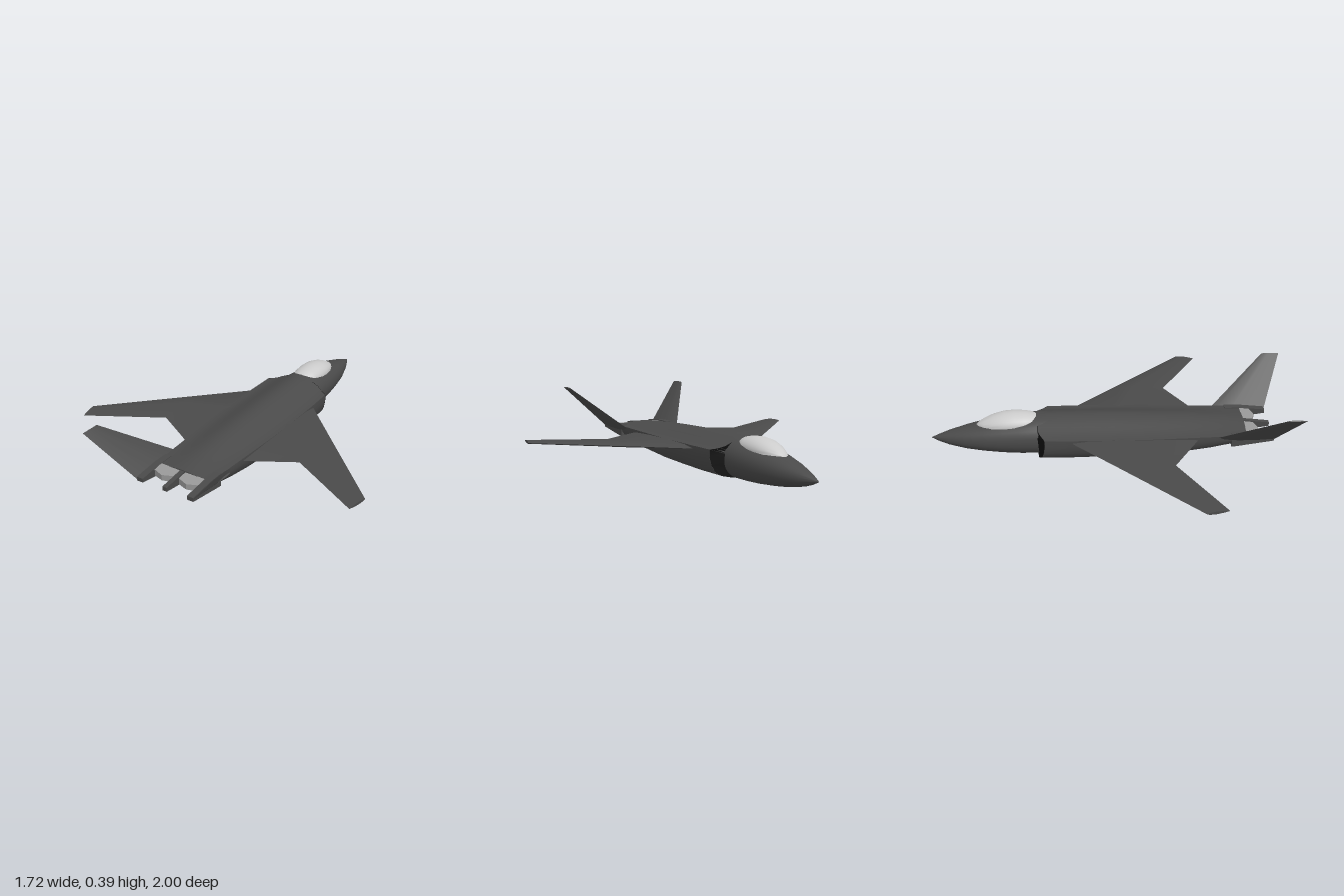
import * as THREE from 'three';
import { toCreasedNormals } from 'three/addons/utils/BufferGeometryUtils.js';

const material = (color) => new THREE.MeshStandardMaterial({ color });
const skin = material(0x4a4a4a);
const black = material(0x111111);
const metal = material(0x999999);
const glass = material(0xcccccc);

// Joins rings of [x, y, z] (counter-clockwise seen from the far end) into a capped solid.
function loft(rings, crease = 0.6, mirror = false) {
  const n = rings[0].length, pos = [], index = [];
  const tri = (a, b, c) => (mirror ? index.push(a, c, b) : index.push(a, b, c));
  rings.flat().forEach(([x, y, z]) => pos.push(mirror ? -x : x, y, z));
  for (let i = 0; i < rings.length - 1; i++) {
    for (let j = 0; j < n; j++) {
      const a = i * n + j, b = i * n + (j + 1) % n;
      tri(a, b, a + n);
      tri(b, b + n, a + n);
    }
  }
  // end caps
  [0, rings.length - 1].forEach((i) => {
    const mid = [0, 1, 2].map((k) => rings[i].reduce((s, p) => s + p[k], 0) / n);
    const c = pos.length / 3;
    pos.push(mirror ? -mid[0] : mid[0], mid[1], mid[2]);
    for (let j = 0; j < n; j++) {
      const a = i * n + j, b = i * n + (j + 1) % n;
      if (i) tri(c, a, b); else tri(c, b, a);
    }
  });
  const g = new THREE.BufferGeometry();
  g.setAttribute('position', new THREE.Float32BufferAttribute(pos, 3));
  g.setIndex(index);
  return toCreasedNormals(g, crease);
}

// Rounded section: half width, bottom, top.
function ovalRing(z, w, b, t, power = 2, n = 32) {
  return Array.from({ length: n }, (_, i) => {
    const a = (i / n) * Math.PI * 2, c = Math.cos(a), s = Math.sin(a);
    const p = (v) => Math.sign(v) * Math.abs(v) ** (2 / power);
    return [w * p(c), (b + t) / 2 + ((t - b) / 2) * p(s), z];
  });
}

// Main body section: boat-shaped belly, sharp shoulder and bell-shaped spine.
function bodyRing(z, w, b, t, edge, front = false) {
  const h = edge - b;
  const half = [[0.4, b + 0.05 * h], [0.68, b + 0.12 * h], [0.86, b + 0.25 * h], [0.95, b + 0.48 * h], [1, b + 0.75 * h], [1, edge]];
  for (let u = 0.875; u > 0.01; u -= 0.125) {
    half.push([u, edge + (t - edge) * (0.5 + 0.5 * Math.cos(Math.PI * u))]);
  }
  const right = half.map(([u, y]) => [u * w, y]);
  const left = right.map(([x, y]) => [-x, y]).reverse();
  return [[0, b], ...right, [0, t], ...left].map(([x, y]) =>
    [x, y, front ? z + Math.max(0, Math.abs(x) - 0.12) * 0.55 : z]);
}

// Thin aerofoil panel through chords [leading point, trailing point, thickness].
function panel(chords, up, mirror) {
  const shape = [[0, 0], [0.12, -0.7], [0.4, -1], [0.75, -0.6], [1, 0], [0.75, 0.6], [0.4, 1], [0.12, 0.7]];
  const rings = chords.map(([le, te, thick]) => shape.map(([f, h]) =>
    le.map((v, k) => v + (te[k] - v) * f + up[k] * h * thick / 2)).reverse());
  return loft(rings, 0.5, mirror);
}

export function createModel() {
  const model = new THREE.Group();
  const add = (name, geometry, mat) => {
    const mesh = new THREE.Mesh(geometry, mat);
    mesh.name = name;
    model.add(mesh);
    return mesh;
  };

  // nose and forward fuselage: z, half width, bottom, top
  add('forwardFuselage', loft([
    [-1, 0.001, 0.084, 0.086], [-0.95, 0.025, 0.062, 0.106], [-0.9, 0.045, 0.046, 0.124],
    [-0.8, 0.077, 0.026, 0.153], [-0.7, 0.098, 0.014, 0.177], [-0.6, 0.113, 0.006, 0.196],
    [-0.5, 0.122, 0.002, 0.21], [-0.4, 0.128, 0.002, 0.222], [-0.3, 0.128, 0.006, 0.218],
  ].map(([z, w, b, t]) => ovalRing(z, w, b, t, 2.2)), 0.9), skin);

  // main fuselage, starting at the swept intake lips
  const bodyRings = [
    [-0.4, 0.195, 0.006, 0.222, 0.166], [-0.2, 0.2, 0.007, 0.222, 0.166],
    [0, 0.2, 0.013, 0.221, 0.166], [0.2, 0.197, 0.021, 0.215, 0.166],
    [0.4, 0.186, 0.036, 0.207, 0.166], [0.55, 0.178, 0.06, 0.195, 0.166],
    [0.65, 0.173, 0.085, 0.187, 0.166], [0.745, 0.173, 0.113, 0.178, 0.166],
  ].map((s, i) => bodyRing(...s, i === 0));
  add('mainFuselage', loft(bodyRings), skin);

  // dark intake mouths between the nose and the lips
  const lip = bodyRings[0].map(([x, y, z]) => [x, y, z - 0.002]);
  const throat = lip.map(([x, y]) => [x * 0.63, 0.1 + (y - 0.1) * 0.63, -0.402]);
  add('intakeMouths', loft([throat, lip]), black);

  // canopy
  add('canopy', loft([
    [-0.748, 0.004, 0.15, 0.164], [-0.73, 0.028, 0.14, 0.18], [-0.7, 0.048, 0.13, 0.197],
    [-0.65, 0.068, 0.12, 0.22], [-0.59, 0.08, 0.12, 0.236], [-0.53, 0.082, 0.12, 0.241],
    [-0.47, 0.077, 0.13, 0.237], [-0.43, 0.068, 0.14, 0.229], [-0.412, 0.05, 0.15, 0.222],
  ].map(([z, w, b, t]) => ovalRing(z, w, b, t)), 1), glass);

  for (const mirror of [false, true]) {
    const side = mirror ? 'right' : 'left';
    const s = mirror ? -1 : 1;

    // wing with cranked trailing edge
    add(side + 'Wing', panel([
      [[0.12, 0.15, -0.29], [0.12, 0.15, 0.51], 0.036],
      [[0.43, 0.15, 0.017], [0.43, 0.15, 0.33], 0.029],
      [[0.86, 0.148, 0.44], [0.835, 0.148, 0.555], 0.016],
    ], [0, 1, 0], mirror), skin);

    // canted tail fin
    add(side + 'TailFin', panel([
      [[0.155, 0.14, 0.56], [0.165, 0.14, 0.89], 0.02],
      [[0.4, 0.388, 0.9], [0.4, 0.388, 1], 0.008],
    ], [-0.72, 0.69, 0], mirror), skin);

    // tapering boom carrying the fin
    add(side + 'TailBoom', loft([[0.66, 0.1, 0.172], [0.745, 0.113, 0.172], [0.89, 0.136, 0.158]].map(([z, b, t]) =>
      [[0.136, b, z], [0.173, b, z], [0.173, t, z], [0.136, t, z]]), 0.3, mirror), skin);

    // flat exhaust nozzle with pointed lips
    const plan = new THREE.Shape([[-0.058, 0], [0.058, 0], [0.058, 0.055], [0, 0.075], [-0.058, 0.055]]
      .map(([x, z]) => new THREE.Vector2(x, -z)));
    const nozzle = new THREE.ExtrudeGeometry(plan, { depth: 0.05, bevelEnabled: false });
    nozzle.rotateX(-Math.PI / 2).translate(0, -0.025, 0);
    const p = nozzle.attributes.position;
    for (let i = 0; i < p.count; i++) p.setY(i, p.getY(i) * (1 - p.getZ(i) * 5));
    nozzle.computeVertexNormals();
    add(side + 'Nozzle', nozzle, metal).position.set(s * 0.076, 0.147, 0.743);
  }

  // centre boom between the nozzles
  add('centreBoom', loft([[0.68, 0.11, 0.175], [0.745, 0.116, 0.174], [0.89, 0.136, 0.158]].map(([z, b, t]) =>
    [[-0.013, b, z], [0.013, b, z], [0.013, t, z], [-0.013, t, z]]), 0.3), skin);

  return model;
}
